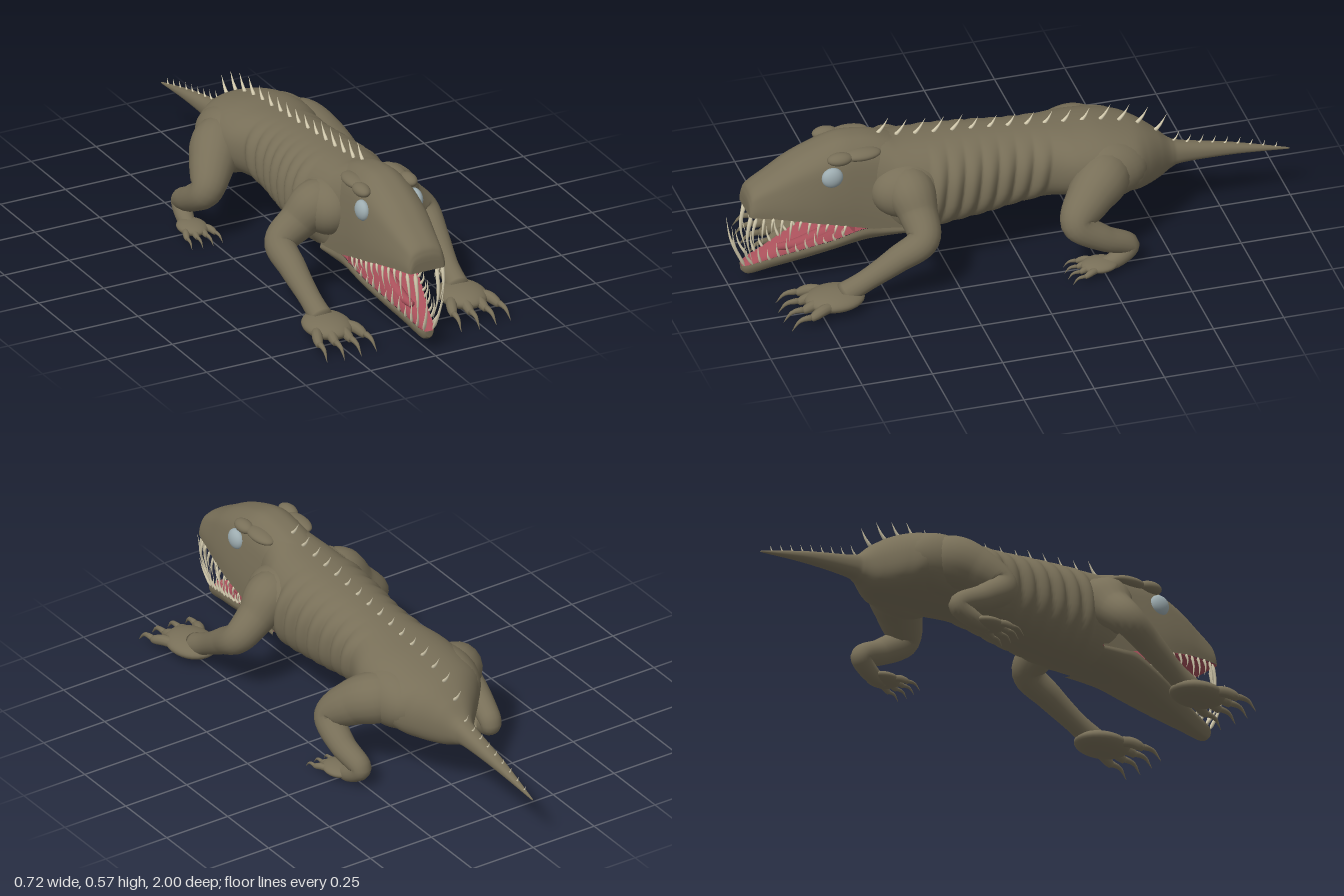
import * as THREE from 'three';
import { mergeVertices, mergeGeometries } from 'three/addons/utils/BufferGeometryUtils.js';
import { ParametricGeometry } from 'three/addons/geometries/ParametricGeometry.js';

const V = (x, y, z) => new THREE.Vector3(x, y, z);
const mat = (name, color, side = THREE.FrontSide) => {
  const m = new THREE.MeshStandardMaterial({ color, side });
  m.name = name;
  return m;
};

// Weld seams and recompute smooth normals
function smooth(geo) {
  geo.deleteAttribute('uv');
  geo.deleteAttribute('normal');
  const g = mergeVertices(geo, 1e-5);
  g.computeVertexNormals();
  return g;
}

function surface(fn, nu, nv) {
  return smooth(new ParametricGeometry((u, v, p) => p.set(...fn(u, v)), nu, nv));
}

// Smooth sampler for rows of [z, halfWidth, a, b]
function sampler(rows) {
  const s1 = new THREE.SplineCurve(rows.map(r => new THREE.Vector2(r[0], r[1])));
  const s2 = new THREE.SplineCurve(rows.map(r => new THREE.Vector2(r[2], r[3])));
  return t => {
    const p = s1.getPoint(t), q = s2.getPoint(t);
    return [p.x, p.y, q.x, q.y];
  };
}

// Linear lookup of a row at a given z (rows run front to back)
function rowAt(rows, z) {
  let i = 0;
  while (i < rows.length - 2 && rows[i + 1][0] > z) i++;
  const k = (rows[i][0] - z) / (rows[i][0] - rows[i + 1][0]);
  return rows[i].map((a, j) => a + (rows[i + 1][j] - a) * k);
}

// Tapered tube; radii match the control points
function limb(points, radii, rings = 32, sides = 18) {
  const curve = new THREE.CatmullRomCurve3(points);
  curve.getPointAt = (t, o) => curve.getPoint(t, o);
  curve.getTangentAt = (t, o) => curve.getTangent(t, o);
  const geo = new THREE.TubeGeometry(curve, rings, 1, sides);
  const rad = new THREE.SplineCurve(radii.map((r, i) => new THREE.Vector2(i, r)));
  const pos = geo.attributes.position, p = V(0, 0, 0);
  for (let i = 0; i <= rings; i++) {
    const c = curve.getPoint(i / rings);
    const r = i === 0 || i === rings ? 0.0005 : rad.getPoint(i / rings).y;
    for (let j = 0; j <= sides; j++) {
      const k = i * (sides + 1) + j;
      p.fromBufferAttribute(pos, k).sub(c).multiplyScalar(r).add(c);
      pos.setXYZ(k, p.x, p.y, p.z);
    }
  }
  return smooth(geo);
}

// Curved spike from base to tip, bowed by an offset
function spike(base, tip, r, bow) {
  const mid = base.clone().lerp(tip, 0.5).add(bow);
  return limb([base, mid, tip], [r, r * 0.6, r * 0.08], 8, 7);
}

function blob(c, r) {
  return smooth(new THREE.SphereGeometry(1, 28, 18).scale(...r).translate(...c));
}

// z, half width, bottom, top
const BODY = [
  [.51, .108, .15, .528], [.45, .135, .145, .512], [.4, .155, .145, .5], [.3, .165, .15, .49],
  [.2, .16, .16, .483], [.1, .152, .17, .475], [0, .143, .185, .465], [-.1, .15, .198, .455],
  [-.2, .182, .198, .445], [-.3, .19, .19, .435], [-.4, .182, .18, .412], [-.46, .14, .175, .39],
  [-.52, .085, .18, .35], [-.57, .045, .2, .305], [-.62, .034, .21, .286], [-.8, .021, .207, .247],
  [-1, .002, .188, .193]];
// z, half width, lip, crown
const HEAD = [
  [.942, .06, .3, .335], [.938, .067, .3, .362], [.92, .076, .3, .39], [.85, .092, .292, .434], [.78, .107, .28, .477],
  [.7, .118, .262, .512], [.62, .121, .242, .537], [.55, .121, .222, .537], [.48, .122, .205, .524], [.4, .125, .2, .495]];
// z, half width, gum, underside
const JAW = [
  [.955, .014, .078, .056], [.93, .03, .088, .042], [.85, .05, .115, .06], [.75, .08, .15, .085],
  [.65, .105, .183, .113], [.55, .118, .216, .135], [.48, .122, .21, .143], [.4, .125, .2, .147]];
const ROOF = .3, THROAT = .585;

// Half-open shell (head or jaw), closed at the front
function shell(rows, half, dir) {
  const at = sampler(rows);
  const left = half.map(([x, y]) => new THREE.Vector2(-x, y));
  const right = half.slice(0, -1).reverse().map(([x, y]) => new THREE.Vector2(x, y));
  const prof = new THREE.SplineCurve([...left, ...right]);
  return surface((u, v) => {
    const [z, w, edge, peak] = at(Math.max(0, (v - 0.015) / 0.985));
    const q = prof.getPoint(u), k = v === 0 ? 0 : 1;
    return [dir * q.x * w * k, edge + (peak - edge) * q.y * k, z];
  }, 36, 66);
}

// Height of the mouth roof and floor at x in -1..1 across
const roofY = (x, lip) => lip + (ROOF - lip) * (1 - x ** 6);
const floorY = (x, gum) => gum - .02 * (1 - x * x);

// Mouth lining stretched between the two edges of a shell
function lining(rows, height) {
  const at = sampler(rows);
  return surface((u, v) => {
    const [z, w, edge] = at(v);
    const x = u * 2 - 1;
    return [x * w * 0.985, height(x, edge), z];
  }, 20, 30);
}

export function createModel() {
  const model = new THREE.Group();
  const skin = mat('olive skin', 0x786f58);
  const flesh = mat('mouth red', 0xa8505a, THREE.DoubleSide);
  const bone = mat('tooth ivory', 0xd6cdb0);
  const eyeGrey = mat('eye grey', 0x9dacb0);
  const add = (name, geos, m) => {
    const mesh = new THREE.Mesh(Array.isArray(geos) ? mergeGeometries(geos) : geos, m);
    mesh.name = name;
    model.add(mesh);
  };

  // Trunk and tail with slanted rib ridges
  const bodyAt = sampler(BODY);
  add('body', surface((u, v) => {
    const [z, w, bot, top] = bodyAt(v);
    const a = -u * Math.PI * 2, c = Math.cos(a), s = Math.sin(a);
    const k = v === 0 || v === 1 ? 0 : 1;
    const zr = z + s * 0.025;
    const rib = zr > -.1 && zr < .334 ? .11 * Math.abs(Math.sin(Math.PI * (zr + .1) / .062)) * Math.abs(c) : 0;
    const x = Math.sign(c) * Math.abs(c) ** 0.85 * w * (1 + rib);
    const y = (bot + top) / 2 + Math.sign(s) * Math.abs(s) ** 0.9 * (top - bot) / 2;
    return [x * k, k ? y : (bot + top) / 2, z];
  }, 40, 240), skin);

  // Head and jaw
  add('head', shell(HEAD, [[1, 0], [.99, .25], [.9, .55], [.74, .82], [.38, .97], [0, 1]], 1), skin);
  add('lowerJaw', shell(JAW, [[1, 0], [1.02, .25], [.9, .55], [.65, .85], [.33, .97], [0, 1]], -1), skin);

  // Mouth interior: roof, floor, back wall and tongue
  add('palate', lining(HEAD, roofY), flesh);
  add('mouthFloor', lining(JAW, floorY), flesh);
  const [, throatW, throatLip] = rowAt(HEAD, THROAT), throatGum = rowAt(JAW, THROAT)[2];
  add('throat', surface((u, v) => {
    const x = u * 2 - 1, low = floorY(x, throatGum);
    return [x * throatW * .97, low + (roofY(x, throatLip) - low) * v, THROAT];
  }, 20, 4), flesh);
  add('tongue', limb([V(0, .17, .58), V(0, .148, .67), V(0, .125, .76), V(0, .124, .83)], [.024, .024, .019, .012]), flesh);

  const teeth = [], claws = [];
  for (const s of [1, -1]) {
    const side = s > 0 ? 'left' : 'right';
    add(side + 'Brow', [blob([s * .09, .494, .63], [.028, .022, .045]), blob([s * .076, .493, .55], [.036, .02, .07])], skin);
    add(side + 'Eye', blob([s * .102, .432, .66], [.023, .037, .038]), eyeGrey);

    // Side teeth in alternating lengths
    for (let i = 0; i < 10; i++) {
      const z = .895 - i * .031, long = [1, .3, .7][i % 3], fade = 1 - i * .065;
      const [, w, lip] = rowAt(HEAD, z);
      teeth.push(spike(V(s * w * .97, lip + .006, z), V(s * w * .93, lip - (.04 + .065 * long) * fade, z + .008), .0055, V(s * .006, 0, .004)));
      const [, jw, gum] = rowAt(JAW, z);
      teeth.push(spike(V(s * jw * .94, gum - .008, z), V(s * (jw * .95 + .005), gum + (.03 + .05 * long) * fade, z + .012), .0055, V(s * .005, 0, .005)));
    }
    // Front fangs
    teeth.push(spike(V(s * .042, .303, .928), V(s * .03, .105, .925), .0085, V(s * .004, 0, .018)));
    teeth.push(spike(V(s * .068, .303, .918), V(s * .056, .16, .92), .007, V(s * .004, 0, .014)));
    teeth.push(spike(V(s * .018, .075, .945), V(s * .034, .257, .998), .007, V(0, 0, .012)));
    teeth.push(spike(V(s * .03, .085, .92), V(s * .052, .19, .96), .006, V(0, 0, .01)));

    // Shoulder and hip muscles easing the limbs into the trunk
    add(side + 'Shoulder', blob([s * .105, .345, .4], [.095, .1, .125]), skin);
    add(side + 'Hip', blob([s * .11, .3, -.3], [.1, .108, .16]), skin);

    // Front leg
    add(side + 'FrontLeg', limb(
      [V(s * .08, .36, .4), V(s * .145, .352, .395), V(s * .205, .298, .385), V(s * .274, .237, .388),
        V(s * .274, .175, .48), V(s * .266, .105, .59), V(s * .262, .055, .68)],
      [.075, .086, .068, .056, .047, .038, .042], 48), skin);
    // Rear leg
    add(side + 'RearLeg', limb(
      [V(s * .1, .3, -.32), V(s * .16, .298, -.285), V(s * .215, .262, -.22), V(s * .268, .198, -.162),
        V(s * .28, .132, -.25), V(s * .267, .08, -.345), V(s * .28, .038, -.29), V(s * .285, .03, -.22)],
      [.08, .092, .08, .058, .046, .037, .03, .02], 56), skin);

    // Hands and feet: palm, four digits, curved claws
    for (const [part, x, z, k] of [['Hand', .26, .7, 1], ['Foot', .285, -.235, .62]]) {
      const geos = [blob([s * x, .05 * (k + .05), z], [.083 * k, .035 * k, .105 * k])];
      [-.09, -.03, .03, .087].forEach((d, i) => {
        const mid = i === 1 || i === 2 ? .012 : 0;
        const p = (f, y, dz) => V(s * (x + d * f * k), y * k, z + (dz + mid) * k);
        geos.push(limb([p(.5, .05, .01), p(.8, .054, .06), p(.93, .046, .09), p(1, .036, .113)], [.018, .019, .017, .011].map(r => r * k), 14, 10));
        claws.push(spike(p(.98, .045, .1), p(1.08, .006, .18), .012 * k, V(0, .014 * k, .01 * k)));
      });
      add(side + part, geos, skin);
    }
  }
  add('teeth', teeth, bone);
  add('claws', claws, skin);

  // Backward-leaning spines along back and tail
  const spines = [];
  const spine = (z, h, r) => {
    const y = rowAt(BODY, z)[3];
    spines.push(spike(V(0, y - .008, z), V(0, y + h, z - h * .85), r, V(0, -.004, -.002)));
  };
  for (let i = 0; i < 16; i++) spine(.475 - i * .066, i < 5 || i > 11 ? .052 : .04, .0075);
  for (let i = 0; i < 9; i++) spine(-.58 - i * .045, .028 - i * .0015, .0045);
  add('spines', spines, bone);
  return model;
}
